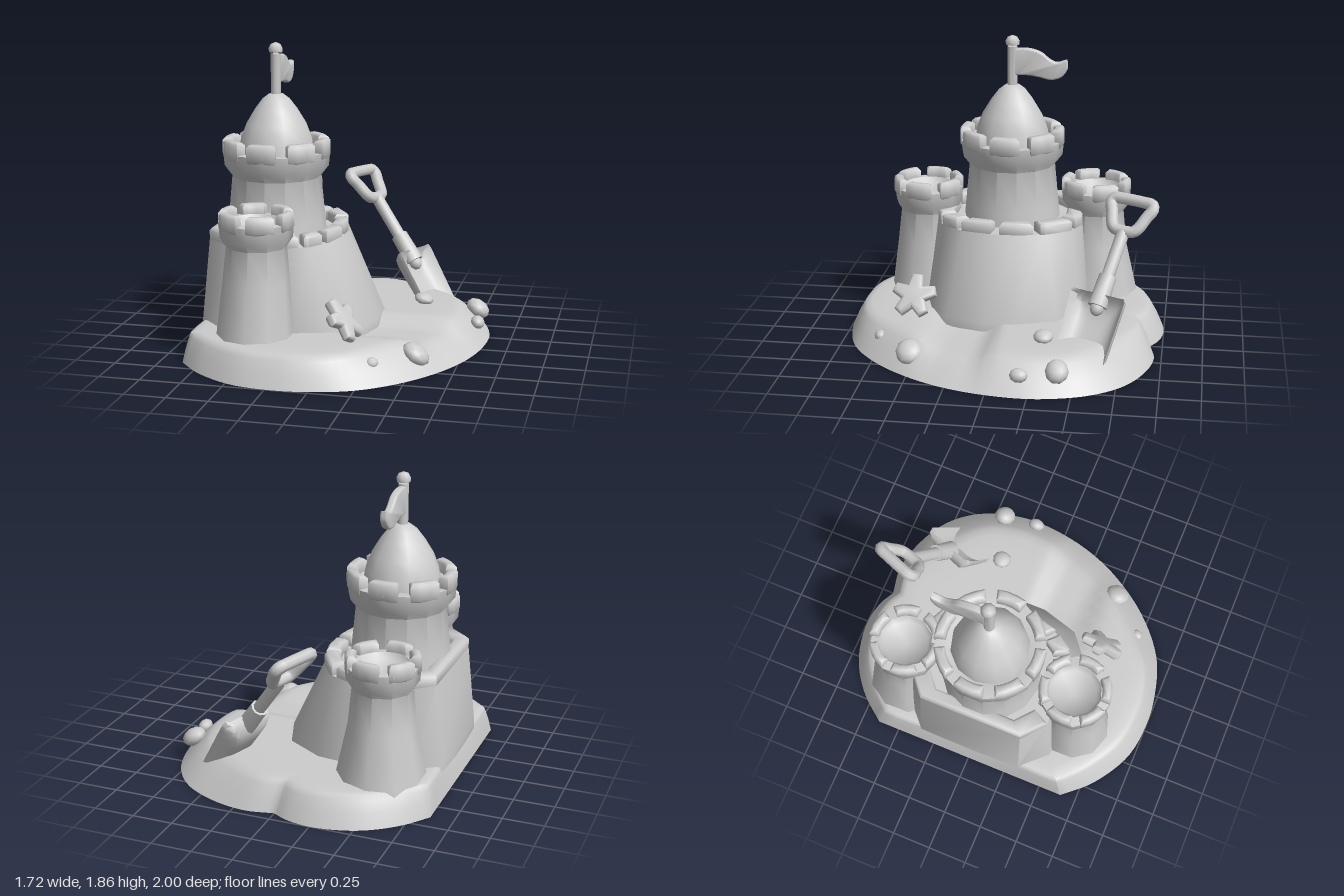
import * as THREE from 'three';
import { toCreasedNormals, mergeVertices } from 'three/addons/utils/BufferGeometryUtils.js';

const sand = new THREE.MeshStandardMaterial({ color: 0xcccccc, side: THREE.DoubleSide });
sand.name = 'sand';

const lerp = (a, b, t) => a + (b - a) * t;
const smooth = THREE.MathUtils.smoothstep;

function part(parent, name, geo, crease = 0.85) {
  const m = new THREE.Mesh(toCreasedNormals(geo, crease), sand);
  m.name = name;
  parent.add(m);
  return m;
}

// Skin through equal-sized closed rings of [x, y, z] points
function loft(rings, capStart = false, capEnd = false) {
  const n = rings[0].length, idx = [];
  for (let r = 0; r < rings.length - 1; r++) {
    for (let i = 0; i < n; i++) {
      const a = r * n + i, b = r * n + (i + 1) % n;
      idx.push(a, a + n, b, b, a + n, b + n);
    }
  }
  const cap = (o, flip) => {
    for (let i = 0; i < n / 2 - 1; i++) {
      const a = o + i, b = o + i + 1, c = o + n - 2 - i, d = o + n - 1 - i;
      const t = [a, d, b, b, d, c];
      if (flip) t.reverse();
      idx.push(...t);
    }
  };
  if (capStart) cap(0, true);
  if (capEnd) cap((rings.length - 1) * n, false);
  const g = new THREE.BufferGeometry();
  g.setAttribute('position', new THREE.Float32BufferAttribute(rings.flat(2), 3));
  g.setIndex(idx);
  return g;
}

const lathe = (pts, sides) =>
  mergeVertices(new THREE.LatheGeometry(pts.map(p => new THREE.Vector2(...p)), sides).deleteAttribute('normal').deleteAttribute('uv'));

// Upright block over a plan outline of [x, z] points, edges softened
function block(plan, y0, y1) {
  const bevel = 0.015;
  const g = new THREE.ExtrudeGeometry(new THREE.Shape(plan.map(p => new THREE.Vector2(p[0], -p[1]))), {
    depth: y1 - y0 - bevel, bevelThickness: bevel, bevelSize: bevel, bevelOffset: -bevel, bevelSegments: 1,
  });
  return g.rotateX(-Math.PI / 2).translate(0, y0, 0);
}

// Ring of battlements around a round tower
function battlements(parent, count, inner, outer, y0, y1, turn, fill) {
  for (let k = 0; k < count; k++) {
    const start = turn + k / count * Math.PI * 2, span = fill * Math.PI * 2 / count;
    const arc = r => [0, 1, 2, 3].map(i => [r * Math.cos(start + span * i / 3), r * Math.sin(start + span * i / 3)]);
    part(parent, 'battlement', block([...arc(outer), ...arc(inner).reverse()], y0, y1));
  }
}

function buildBase(root) {
  // two curved sweeps meet at a notch at the back; the left edge is straight
  const sweeps = [
    [[-.86, -.64], [-.72, -.81], [-.52, -.945], [-.27, -1], [-.1, -.975], [0, -.925]],
    [[0, -.925], [.18, -.955], [.4, -.91], [.62, -.79], [.77, -.6], [.85, -.35], [.86, -.15], [.81, .15], [.7, .42],
      [.5, .7], [.25, .9], [0, .98], [-.2, 1], [-.45, .965], [-.7, .82], [-.86, .65]],
    [[-.86, .65], [-.86, -.64]],
  ];
  const rim = sweeps.flatMap((pts, k) => new THREE.CatmullRomCurve3(pts.map(p => new THREE.Vector3(p[0], 0, p[1])))
    .getPoints([24, 72, 16][k]).slice(0, -1).map(v => [v.x, v.z]));
  const cx = -0.33;
  const ring = (fraction, y, inward) => rim.map(([x, z]) => {
    const len = Math.hypot(x - cx, z);
    const inset = (0.055 + 0.05 * smooth(Math.abs(z), .5, .9) + 0.15 * smooth(x, 0, .7)) * fraction;
    const s = lerp(1 - inset / len, 0.38 / len, inward);
    const px = cx + (x - cx) * s, pz = z * s;
    // broad shallow trough leading to the wall
    const dip = smooth(pz, -.04, .1) * (1 - smooth(pz, .32, .47)) * smooth(px, -.1, .15);
    return [px, y * (1 - 0.32 * dip), pz];
  });
  part(root, 'sandBase', loft([ring(0, 0, 0), ring(.35, .085, 0), ring(.7, .15, 0), ring(.9, .178, 0),
    ring(1, .185, .05), ring(1, .19, .2), ring(1, .19, .4), ring(1, .19, .65), ring(1, .19, 1)]), 1);
}

function buildWall(root) {
  const foot = [[-.83, -.34], [-.68, -.48], [-.25, -.51], [-.1, -.49], [.13, -.35], [.22, -.1], [.22, .1], [.15, .34],
    [0, .46], [-.2, .52], [-.68, .5], [-.83, .34]];
  const top = [[-.78, -.33], [-.64, -.45], [-.27, -.46], [-.14, -.4], [-.05, -.26], [-.01, -.08], [-.01, .08], [-.05, .26],
    [-.14, .4], [-.27, .46], [-.64, .45], [-.78, .33]];
  const at = (list, y) => list.map(([x, z]) => [x, y, z]);
  part(root, 'castleWall', loft([at(foot, .12), at(foot, .19), at(top, .69)], true, true));
  // point on the wall top, by fractional corner number
  const edge = (u, s) => {
    const i = Math.floor(u), p = top[i % 12], q = top[(i + 1) % 12];
    const x = lerp(p[0], q[0], u - i), z = lerp(p[1], q[1], u - i);
    return [-.4 + (x + .4) * s, z * s];
  };
  for (const [a, b] of [[1.2, 2.6], [2.85, 4.2], [4.45, 5.7], [6.05, 7.1], [7.35, 8.2], [8.45, 9.8], [10, 13]]) {
    const us = [a];
    for (let u = Math.floor(a) + 1; u < b; u++) us.push(u);
    us.push(b);
    part(root, 'wallBattlement', block([...us.map(u => edge(u, 1)), ...us.reverse().map(u => edge(u, .78))], .67, .76));
  }
}

function buildTower(root, name, x, z, footRadius, lean, turn) {
  const g = new THREE.Group();
  g.name = name;
  g.position.set(x, 0, z);
  const body = lathe([[0, .12], [footRadius + .01, .12], [footRadius, .19], [.2, .5], [.18, .72], [.215, .77], [.223, .87],
    [.165, .875], [.14, .84], [0, .8]], 10);
  // the foot sits slightly off the top's centre
  const p = body.attributes.position;
  for (let i = 0; i < p.count; i++) {
    const k = 1 - smooth(p.getY(i), .1, .75);
    p.setXYZ(i, p.getX(i) + lean[0] * k, p.getY(i), p.getZ(i) + lean[1] * k);
  }
  part(g, 'towerBody', body);
  battlements(g, 6, .165, .223, .84, .935, turn, .74);
  root.add(g);
}

function buildKeep(root) {
  const g = new THREE.Group();
  g.name = 'keep';
  g.position.set(-.445, 0, .005);
  part(g, 'keepBody', lathe([[.31, .67], [.3, .78], [.275, 1.04], [.322, 1.1], [.332, 1.2], [.265, 1.2], [.2, 1.18]], 14));
  battlements(g, 8, .265, .332, 1.17, 1.275, -.26, .72);
  part(g, 'domeRoof', lathe([[.24, 1.17], [.225, 1.27], [.19, 1.36], [.135, 1.45], [.085, 1.515], [.045, 1.545], [0, 1.55]], 12), 1);
  part(g, 'flagPole', new THREE.CylinderGeometry(.031, .031, .26, 10).translate(0, 1.66, 0));
  part(g, 'poleCap', lathe([[0, 1.8], [.042, 1.8], [.045, 1.825], [.03, 1.85], [0, 1.862]], 8), 1);
  // waving pennant, drawn in side view
  const s = new THREE.Shape();
  s.moveTo(.01, 1.765);
  s.splineThru([[.09, 1.77], [.17, 1.75], [.23, 1.705], [.28, 1.685], [.335, 1.7]].map(p => new THREE.Vector2(...p)));
  s.splineThru([[.335, 1.655], [.3, 1.61], [.24, 1.595], [.17, 1.61], [.1, 1.62], [.01, 1.62]].map(p => new THREE.Vector2(...p)));
  const flag = new THREE.ExtrudeGeometry(s, { depth: .015, bevelThickness: .016, bevelSize: .012, bevelSegments: 3, curveSegments: 12 });
  part(g, 'flag', flag.translate(0, 0, -.0075).rotateY(Math.PI / 2));
  root.add(g);
}

function buildShovel(root) {
  const g = new THREE.Group();
  g.name = 'toyShovel';
  const up = new THREE.Vector3(-.57, .78, -.26).normalize();
  const front = new THREE.Vector3(.733, .62, .257);
  const side = new THREE.Vector3().crossVectors(up, front).normalize();
  front.crossVectors(side, up);
  g.quaternion.setFromRotationMatrix(new THREE.Matrix4().makeBasis(side, up, front));
  g.position.set(.25, .46, -.64);
  // trapezoid hand loop
  const gripPath = [[-.06, .395], [-.085, .42], [-.115, .5], [-.14, .56], [-.125, .59], [-.07, .595],
    [.07, .595], [.125, .59], [.14, .56], [.115, .5], [.085, .42], [.06, .395]];
  const grip = new THREE.CatmullRomCurve3(gripPath.map(p => new THREE.Vector3(p[0], p[1], 0)), true);
  part(g, 'grip', new THREE.TubeGeometry(grip, 48, .038, 8, true), 1);
  part(g, 'shaft', new THREE.CylinderGeometry(.04, .04, .38, 10).translate(0, .2, 0));
  part(g, 'socket', new THREE.CylinderGeometry(.054, .06, .2, 10).translate(0, -.01, 0));
  part(g, 'socketEnd', new THREE.IcosahedronGeometry(.042, 1).scale(1, 1.2, 1).translate(0, -.12, 0), 1);
  // scoop with raised sides and back
  const rings = [];
  for (let j = 0; j <= 8; j++) {
    const v = (j / 8) ** 1.4, w = .18 * (1 - .1 * v) * (j ? 1 : .92);
    const row = k => {
      const out = [];
      for (let i = -6; i <= 6; i++) {
        const u = i / 6;
        const z = Math.max(.1 * u ** 4 * (1 - .4 * v), .085 * (1 - v) ** 9) - .045;
        out.push([u * w, -.04 - .42 * v - .03 * u * v, z - k]);
      }
      return out;
    };
    rings.push([...row(0), ...row(.03).reverse()]);
  }
  part(g, 'scoop', loft(rings, true, true));
  root.add(g);
}

function buildDetails(root) {
  // plump five-armed starfish leaning on the wall
  const pts = [];
  for (let i = 0; i < 10; i++) {
    const a = Math.PI / 2 + i * Math.PI / 5, r = i % 2 ? .045 : .115;
    for (const d of i % 2 ? [0] : [-.09, .09]) pts.push(new THREE.Vector2(r * Math.cos(a + d), r * Math.sin(a + d)));
  }
  const star = new THREE.ExtrudeGeometry(new THREE.Shape(pts), { depth: .01, bevelThickness: .03, bevelSize: .027, bevelSegments: 3 });
  const m = part(root, 'starfish', star.translate(0, 0, -.005), 1);
  m.position.set(.105, .3, .55);
  m.lookAt(.105 + .75, .3 + .62, .55 + .1);

  // pebbles: position, radii, tilt
  for (const [x, y, z, a, b, c, tilt] of [
    [.53, .11, .5, .09, .055, .085, -.6], [.31, .11, .72, .042, .036, .042, 0], [.765, .14, -.415, .08, .055, .07, -.6],
    [.795, .115, -.195, .045, .04, .055, -.6], [.435, .215, -.3, .062, .035, .062, -.2]]) {
    const p = part(root, 'pebble', new THREE.IcosahedronGeometry(1, 1).scale(a, b, c), 1);
    p.position.set(x, y, z);
    p.rotation.z = tilt;
  }
}

export function createModel() {
  const root = new THREE.Group();
  root.name = 'sandCastle';
  buildBase(root);
  buildWall(root);
  buildKeep(root);
  buildTower(root, 'frontTower', -.42, .545, .23, [-.01, .02], .8);
  buildTower(root, 'backTower', -.52, -.53, .265, [0, -.01], .3);
  buildShovel(root);
  buildDetails(root);
  return root;
}
